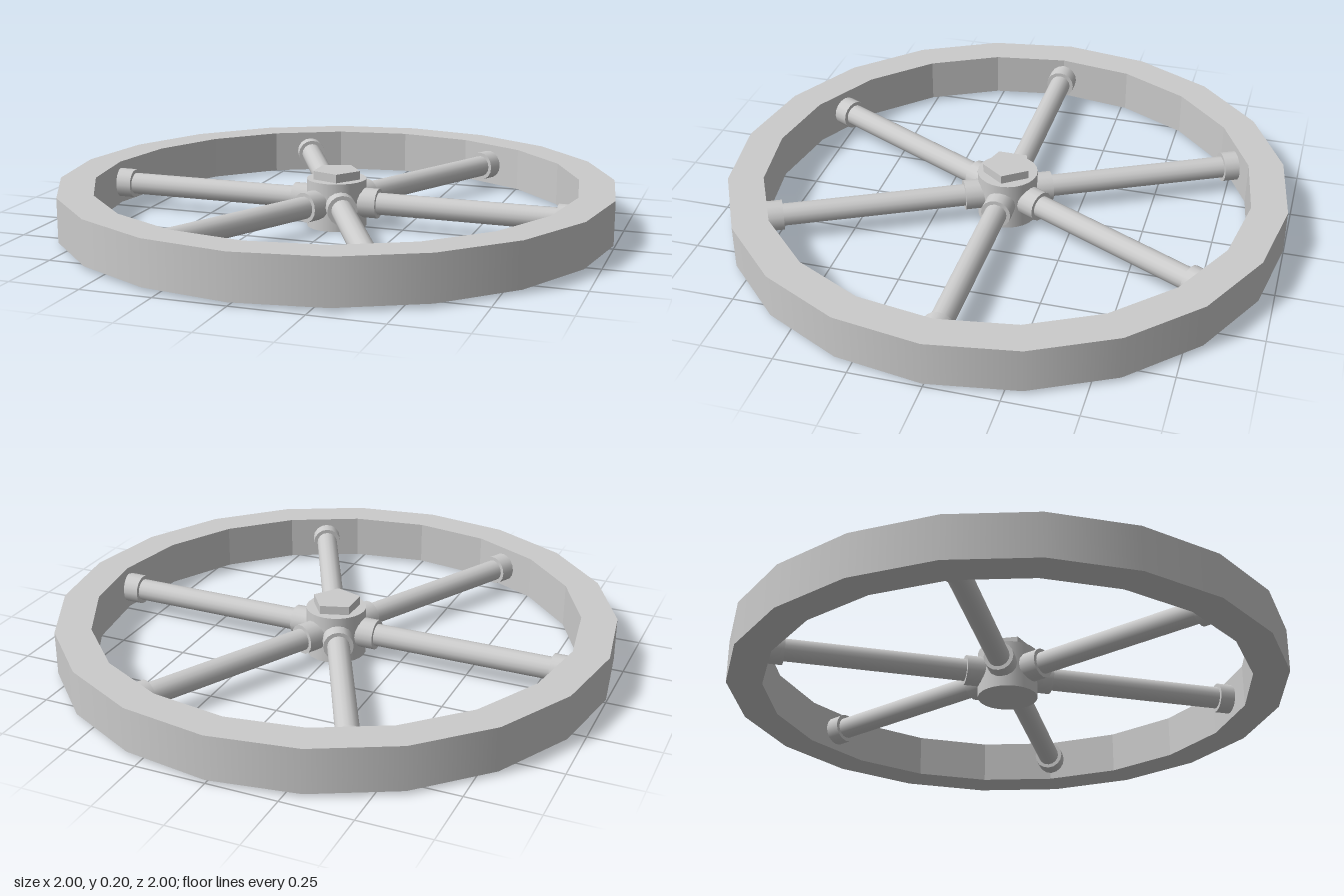
import * as THREE from 'three';

export function createModel() {
  const group = new THREE.Group();
  group.name = 'spokedWheel';
  const smooth = new THREE.MeshStandardMaterial({ color: 0xcccccc });
  const flat = new THREE.MeshStandardMaterial({ color: 0xcccccc, flatShading: true });
  const inside = new THREE.MeshStandardMaterial({ color: 0xcccccc, flatShading: true, side: THREE.BackSide });

  const add = (parent, name, geometry, material, y = 0) => {
    const mesh = new THREE.Mesh(geometry, material);
    mesh.name = name;
    mesh.position.y = y;
    parent.add(mesh);
    return mesh;
  };

  // Rim: twenty-sided band, smooth outside and faceted inside
  const sides = 20, outer = 1, inner = 0.873, bottom = 0.012, top = 0.17;
  const height = top - bottom, middle = (top + bottom) / 2;
  const rim = new THREE.Group();
  rim.name = 'rim';
  group.add(rim);
  add(rim, 'rimOuterWall', new THREE.CylinderGeometry(outer, outer, height, sides, 1, true), smooth, middle);
  add(rim, 'rimInnerWall', new THREE.CylinderGeometry(inner, inner, height, sides, 1, true), inside, middle);
  const ring = (turn) => new THREE.RingGeometry(inner, outer, sides).rotateX(turn);
  add(rim, 'rimTopFace', ring(-Math.PI / 2), smooth, top);
  add(rim, 'rimBottomFace', ring(Math.PI / 2), smooth, bottom);

  // Hub with a five-sided nut pointing along +x
  add(group, 'hub', new THREE.CylinderGeometry(0.108, 0.108, 0.174, 24), smooth, 0.087);
  add(group, 'hubNut', new THREE.CylinderGeometry(0.088, 0.088, 0.045, 5, 1, false, Math.PI / 2), flat, 0.1825);

  // Spokes with a collar at each end
  const rod = (radius, from, to) =>
    new THREE.CylinderGeometry(radius, radius, to - from, 16)
      .rotateZ(-Math.PI / 2)
      .translate((from + to) / 2, 0, 0);
  for (const degrees of [-0.3, 63.5, 116.5, 180, 243.5, 296.5]) {
    const spoke = new THREE.Group();
    spoke.name = 'spoke';
    spoke.position.y = middle;
    spoke.rotation.y = THREE.MathUtils.degToRad(degrees);
    add(spoke, 'spokeRod', rod(0.04, 0.05, 0.87), smooth);
    add(spoke, 'innerCollar', rod(0.054, 0.06, 0.16), smooth);
    add(spoke, 'outerCollar', rod(0.054, 0.808, 0.875), smooth);
    group.add(spoke);
  }
  return group;
}
